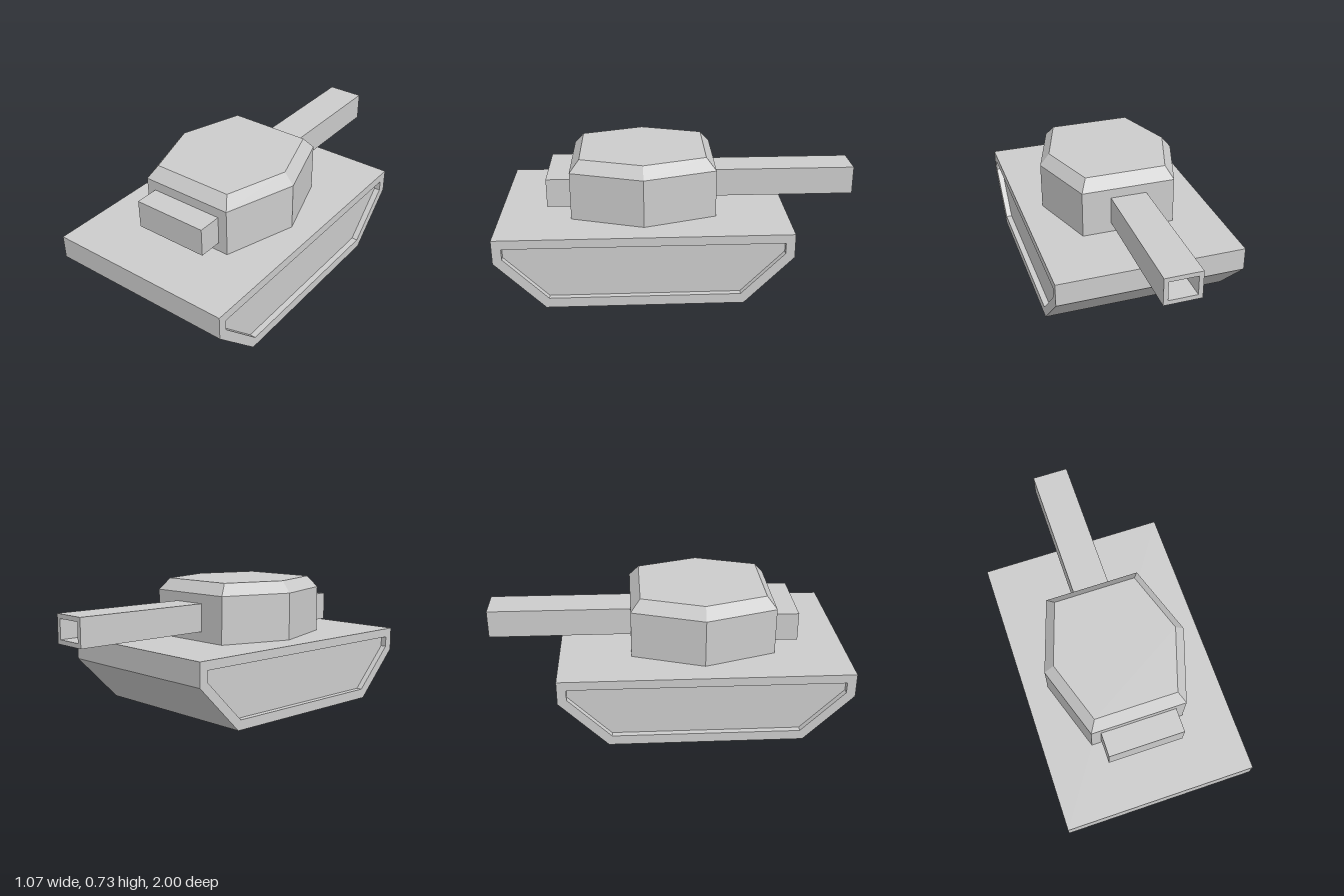
import * as THREE from 'three';

const material = new THREE.MeshStandardMaterial({ color: 0xcccccc, flatShading: true });

function addPart(parent, name, geometry) {
  const mesh = new THREE.Mesh(geometry, material);
  mesh.name = name;
  parent.add(mesh);
  return mesh;
}

const toPoints = (list) => list.map(([a, b]) => new THREE.Vector2(a, b));

// Extrudes an outline, with an optional hole, centred along its depth
function extrude(outline, depth, hole) {
  const shape = new THREE.Shape(toPoints(outline));
  if (hole) shape.holes.push(new THREE.Path(toPoints(hole)));
  return new THREE.ExtrudeGeometry(shape, { depth, bevelEnabled: false }).translate(0, 0, -depth / 2);
}

const rectangle = (w, h) => [[-w / 2, -h / 2], [w / 2, -h / 2], [w / 2, h / 2], [-w / 2, h / 2]];

// Walls between scaled copies of a plan outline, closed at top and bottom
function loft(plan, levels) {
  const n = plan.length;
  const positions = [];
  const index = [];
  for (const [y, scale] of levels) {
    for (const [x, z] of plan) positions.push(x * scale, y, z * scale);
  }
  for (let k = 0; k < levels.length - 1; k++) {
    for (let i = 0; i < n; i++) {
      const a = k * n + i;
      const b = k * n + (i + 1) % n;
      index.push(a, b, b + n, a, b + n, a + n);
    }
  }
  const top = (levels.length - 1) * n;
  for (let i = 1; i < n - 1; i++) {
    index.push(top, top + i, top + i + 1, 0, i + 1, i);
  }
  const indexed = new THREE.BufferGeometry();
  indexed.setAttribute('position', new THREE.Float32BufferAttribute(positions, 3));
  indexed.setIndex(index);
  const geometry = indexed.toNonIndexed();
  geometry.computeVertexNormals();
  return geometry;
}

export function createModel() {
  const model = new THREE.Group();
  model.name = 'tank';

  // Hull: side profile as (z, y), with a recessed panel on each side
  const hullProfile = [[0.733, 0], [1, 0.267], [1, 0.4], [-0.6, 0.4], [-0.6, 0.267], [-0.333, 0]];
  const panelProfile = [[0.715, 0.055], [0.95, 0.29], [0.95, 0.35], [-0.55, 0.35], [-0.55, 0.29], [-0.315, 0.055]];
  addPart(model, 'hull', extrude(hullProfile, 1.066, panelProfile).rotateY(-Math.PI / 2));
  addPart(model, 'sidePanels', extrude(panelProfile, 1.0).rotateY(-Math.PI / 2));

  // Turret: stretched hexagon with a chamfered roof
  const hexagon = [[0.4, 0], [0.267, -0.4], [-0.267, -0.4], [-0.4, 0], [-0.267, 0.4], [0.267, 0.4]];
  const turret = addPart(model, 'turret', loft(hexagon, [[0.4, 1], [0.667, 1], [0.733, 0.865]]));
  turret.position.z = 0.2;

  // Box on the end of the turret opposite the gun
  const box = addPart(model, 'turretBox', new THREE.BoxGeometry(0.426, 0.16, 0.153));
  box.position.set(0, 0.533, 0.657);

  // Square gun barrel with an open bore
  const gun = new THREE.Group();
  gun.name = 'gun';
  gun.position.y = 0.535;
  model.add(gun);
  const barrel = addPart(gun, 'barrel', extrude(rectangle(0.206, 0.158), 0.81, rectangle(0.156, 0.108)));
  barrel.position.z = -0.595;
  const boreEnd = addPart(gun, 'boreEnd', new THREE.BoxGeometry(0.156, 0.108, 0.4));
  boreEnd.position.z = -0.4;

  return model;
}
